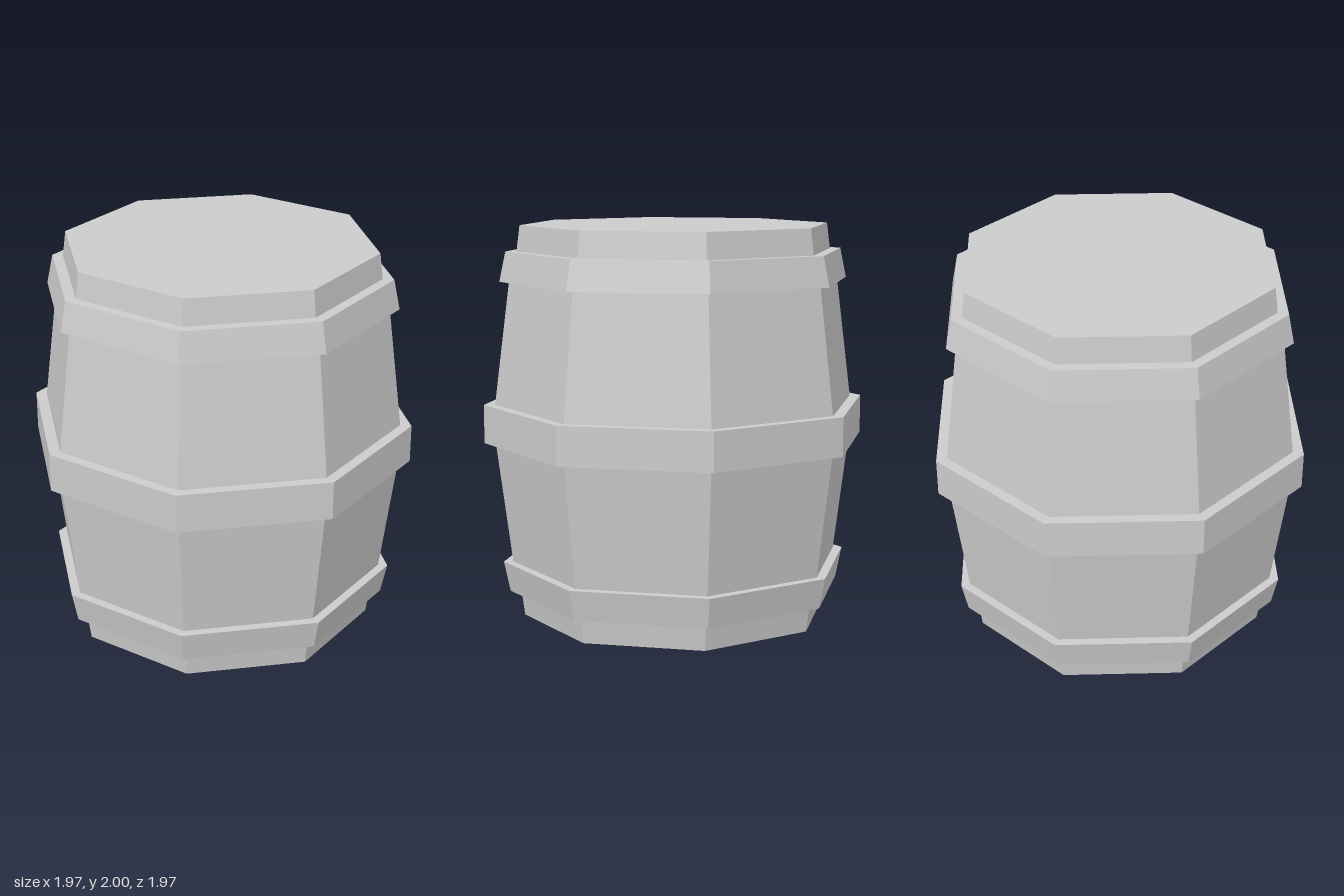
import * as THREE from 'three';

const SIDES = 8;

export function createModel() {
  const barrel = new THREE.Group();
  barrel.name = 'barrel';
  const material = new THREE.MeshStandardMaterial({ color: 0xcccccc, flatShading: true });

  // Spin a [radius, height] profile, listed bottom to top, into an octagonal part
  function addLathe(name, profile) {
    const points = profile.map(([r, y]) => new THREE.Vector2(r, y));
    const mesh = new THREE.Mesh(new THREE.LatheGeometry(points, SIDES), material);
    mesh.name = name;
    barrel.add(mesh);
  }

  // Bulging body, closed by a flat lid and base
  addLathe('body', [
    [0, 0], [0.79, 0], [0.807, 0.13], [0.847, 0.285], [0.926, 0.905],
    [0.926, 1.1], [0.847, 1.72], [0.807, 1.87], [0.79, 2], [0, 2],
  ]);

  // Hoops: each wraps the body with an underside, outer band and top face
  addLathe('lowerHoop', [[0.807, 0.13], [0.863, 0.13], [0.895, 0.285], [0.847, 0.285]]);
  addLathe('middleHoop', [[0.926, 0.905], [0.983, 0.905], [0.983, 1.1], [0.926, 1.1]]);
  addLathe('upperHoop', [[0.847, 1.72], [0.895, 1.72], [0.863, 1.87], [0.807, 1.87]]);

  return barrel;
}
